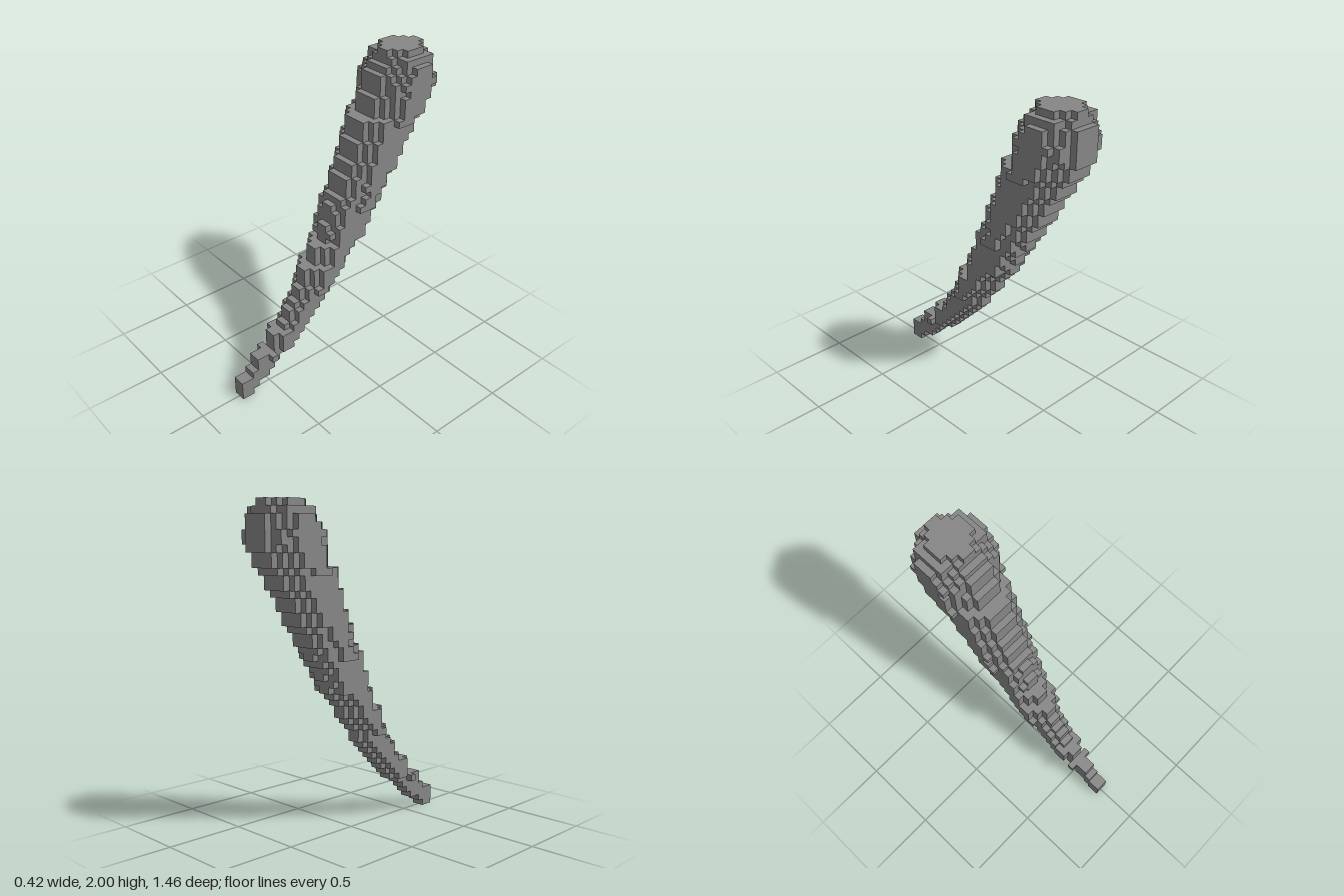
import * as THREE from 'three';
import { mergeGeometries } from 'three/addons/utils/BufferGeometryUtils.js';

const ROWS = 48, DEPTH = 35, V = 2 / ROWS; // cube grid and cube size

// Side profile as [row where the step ends, depth index counted from the front]
const FRONT = [[3, 0], [4, 2], [6, 3], [9, 6], [10, 8], [12, 9], [13, 10], [15, 11], [18, 12], [21, 14],
  [24, 16], [27, 17], [28, 18], [31, 19], [33, 20], [36, 21], [39, 22], [42, 24], [45, 25], [46, 26], [48, 27]];
const BACK = [[1, 2], [2, 3], [3, 5], [4, 6], [5, 7], [6, 8], [7, 10], [8, 11], [9, 12], [10, 13], [11, 14],
  [12, 15], [13, 16], [15, 17], [16, 18], [17, 19], [19, 20], [20, 21], [21, 22], [23, 23], [25, 24], [26, 25],
  [28, 26], [30, 27], [31, 28], [33, 29], [35, 30], [36, 31], [38, 32], [39, 33], [41, 34], [46, 35], [48, 34]];

// Half width by row, and the rows each column (outward from the middle) spans
const RADIUS = [[0, 0.9], [5, 1.6], [14, 2.65], [26, 3.71], [38, 4.76], [43, 5.45], [45, 4.9], [46, 4.65], [47, 3]];
const SPAN = [[0, 48], [5, 48], [14, 48], [26, 47], [38, 46]];

const step = (table, row) => table.find(([end]) => row < end)[1];

function radiusAt(row) {
  const i = Math.max(1, RADIUS.findIndex(([r]) => r >= row));
  const [r0, a] = RADIUS[i - 1], [r1, b] = RADIUS[i];
  return a + (b - a) * (row - r0) / (r1 - r0);
}

// Is the cube at column x (-5..4), given row and depth, part of the horn?
function filled(x, row, k) {
  if (row < 0 || row >= ROWS || k < 0 || k >= DEPTH) return false;
  const col = x < 0 ? -1 - x : x;
  if (col > 4 || row < SPAN[col][0] || row >= SPAN[col][1]) return false;
  const f = step(FRONT, row), b = step(BACK, row);
  if (k < f || k >= b) return false;
  if (col === 0) return true;
  const dz = (k + 0.5 - (f + b) / 2) / ((b - f) / 2);
  const dx = (col + 0.5) / radiusAt(row);
  return dz * dz + dx * dx <= 0.94;
}

export function createModel() {
  const grey = new THREE.MeshStandardMaterial({ color: 0x868686 });
  grey.name = 'grey';

  // One square for each of the six cube sides
  const sides = [[1, 0, 0], [-1, 0, 0], [0, 1, 0], [0, -1, 0], [0, 0, 1], [0, 0, -1]].map((n) => {
    const normal = new THREE.Vector3(...n);
    const turn = new THREE.Quaternion().setFromUnitVectors(new THREE.Vector3(0, 0, 1), normal);
    const face = new THREE.PlaneGeometry(V, V).applyQuaternion(turn);
    return { n, face: face.translate(n[0] * V / 2, n[1] * V / 2, n[2] * V / 2) };
  });

  // Outer skin of the cubes: only sides without a neighbour
  const skin = [];
  for (let row = 0; row < ROWS; row++) {
    for (let k = 0; k < DEPTH; k++) {
      for (let x = -5; x < 5; x++) {
        if (!filled(x, row, k)) continue;
        for (const { n, face } of sides) {
          if (filled(x + n[0], row + n[1], k - n[2])) continue;
          skin.push(face.clone().translate((x + 0.5) * V, (row + 0.5) * V, (DEPTH / 2 - k - 0.5) * V));
        }
      }
    }
  }
  const horn = new THREE.Mesh(mergeGeometries(skin), grey);
  horn.name = 'curvedHorn';

  const model = new THREE.Group();
  model.name = 'blockyHorn';
  model.add(horn);
  return model;
}
